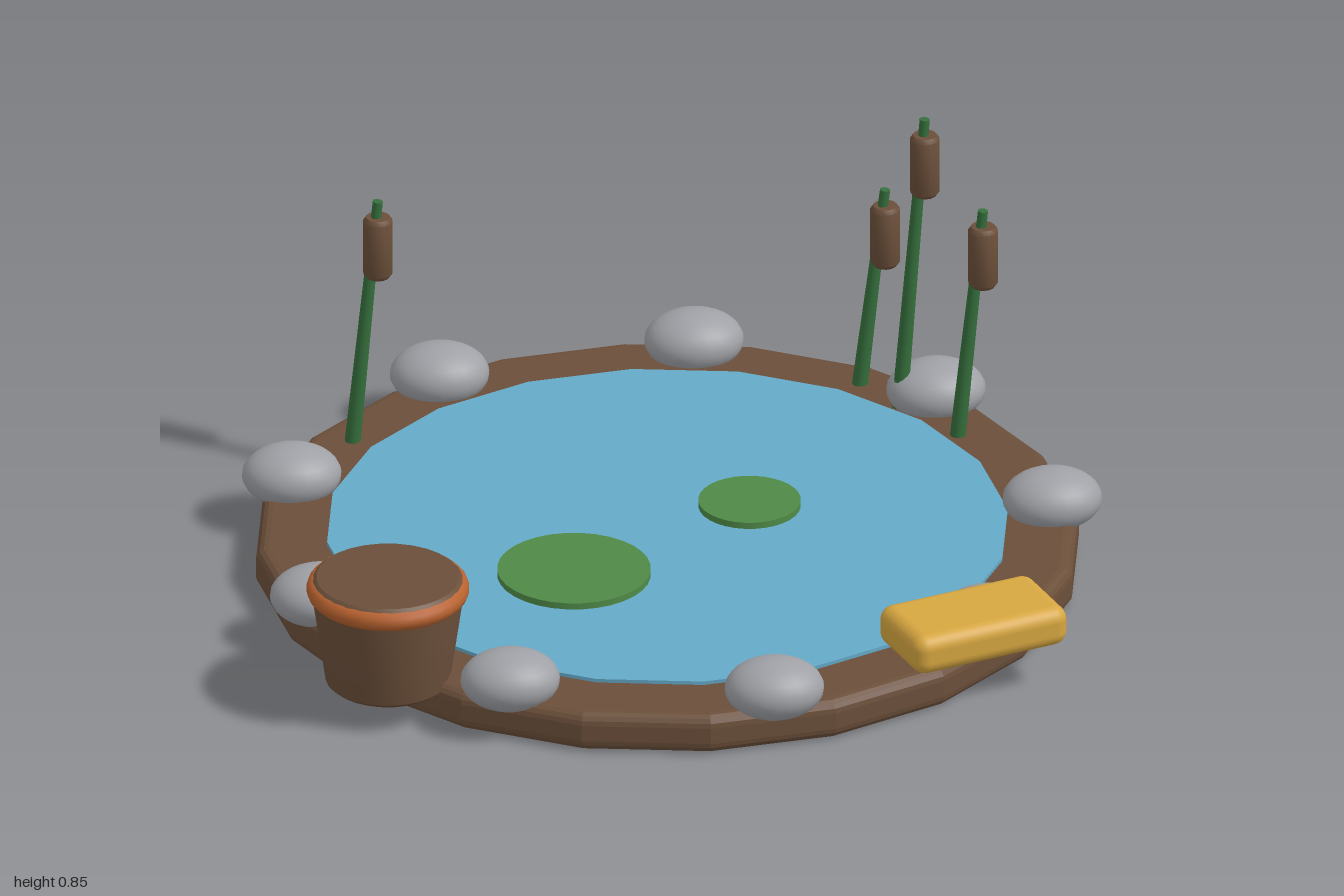
import * as THREE from 'three';
import { toCreasedNormals } from 'three/addons/utils/BufferGeometryUtils.js';
import { RoundedBoxGeometry } from 'three/addons/geometries/RoundedBoxGeometry.js';

const material = (name, color) => {
  const m = new THREE.MeshStandardMaterial({ color });
  m.name = name;
  return m;
};

export function createModel() {
  const pond = new THREE.Group();
  pond.name = 'gardenPond';

  const earth = material('earthBrown', 0x6b4f3a);
  const blue = material('waterBlue', 0x64a9c8);
  const grey = material('stoneGrey', 0x9fa1a6);
  const leaf = material('leafGreen', 0x4f8a48);
  const reedGreen = material('reedGreen', 0x356f3c);
  const terracotta = material('terracotta', 0xb8622f);
  const yellow = material('benchYellow', 0xd6a640);

  const add = (name, geometry, mat, x = 0, y = 0, z = 0, parent = pond) => {
    const mesh = new THREE.Mesh(geometry, mat);
    mesh.name = name;
    mesh.position.set(x, y, z);
    parent.add(mesh);
    return mesh;
  };
  const lathe = (profile, sides) => toCreasedNormals(
    new THREE.LatheGeometry(profile.map(([r, y]) => new THREE.Vector2(r, y)), sides), 0.6);

  const CX = -0.03; // centre of the basin

  // Earth basin: a twenty-sided slab with rounded edges
  const outline = [];
  for (let i = 0; i < 20; i++) {
    const a = (i / 20) * Math.PI * 2;
    outline.push(new THREE.Vector2(Math.cos(a) * 0.937, Math.sin(a) * 0.937));
  }
  const slab = new THREE.ExtrudeGeometry(new THREE.Shape(outline), {
    depth: 0.04, bevelThickness: 0.03, bevelSize: 0.03, bevelSegments: 4,
  });
  slab.rotateX(-Math.PI / 2);
  add('basin', slab, earth, CX, 0.03, 0);

  // Water surface
  add('water', new THREE.CylinderGeometry(0.8, 0.8, 0.018, 20), blue, CX, 0.1, 0);

  // Ring of nine rounded stones
  const stone = new THREE.SphereGeometry(1, 24, 16);
  stone.scale(0.117, 0.072, 0.098);
  for (let i = 0; i < 9; i++) {
    const a = (i / 9) * Math.PI * 2;
    add('stone', stone, grey, CX + Math.cos(a) * 0.905, 0.132, Math.sin(a) * 0.905);
  }

  // Floating lily pads
  for (const [x, z, r] of [[-0.275, 0.24, 0.18], [0.17, -0.065, 0.12]]) {
    add('lilyPad', new THREE.CylinderGeometry(r, r, 0.016, 32), leaf, x, 0.125, z);
  }

  // Bulrushes: leaning tapered stems with upright seed heads
  const head = lathe([[0, -0.078], [0.028, -0.078], [0.035, -0.068],
    [0.035, 0.068], [0.028, 0.078], [0, 0.078]], 14);
  const reeds = [
    [-0.655, 0.607, -0.525],
    [0.555, 0.487, -0.69],
    [0.635, 0.732, -0.565],
    [0.755, 0.567, -0.405],
  ];
  for (const [x, y, z] of reeds) {
    const reed = new THREE.Group();
    reed.name = 'bulrush';
    pond.add(reed);
    const foot = new THREE.Vector3(x - 0.06, 0.09, z);
    const tip = new THREE.Vector3(x, y + 0.119, z);
    const dir = tip.clone().sub(foot);
    const mid = foot.clone().add(tip).multiplyScalar(0.5);
    const stem = add('stem', new THREE.CylinderGeometry(0.012, 0.019, dir.length(), 10),
      reedGreen, mid.x, mid.y, mid.z, reed);
    stem.quaternion.setFromUnitVectors(new THREE.Vector3(0, 1, 0), dir.normalize());
    add('seedHead', head, earth, x, y, z, reed);
  }

  // Soil-filled pot with a terracotta rim
  const pot = new THREE.Group();
  pot.name = 'pot';
  pot.position.set(-0.755, 0, 0.64);
  pond.add(pot);
  add('potBody', lathe([[0, 0.068], [0.135, 0.068], [0.146, 0.078], [0.178, 0.3],
    [0.178, 0.334], [0.168, 0.343], [0, 0.343]], 28), earth, 0, 0, 0, pot);
  const rim = new THREE.TorusGeometry(0.165, 0.026, 12, 32);
  rim.rotateX(Math.PI / 2);
  add('potRim', rim, terracotta, 0, 0.313, 0, pot);

  // Rounded bench slab resting on the edge
  const bench = add('benchSlab', new RoundedBoxGeometry(0.4, 0.1, 0.225, 4, 0.035),
    yellow, 0.617, 0.163, 0.682);
  bench.rotation.y = 0.35;

  return pond;
}
